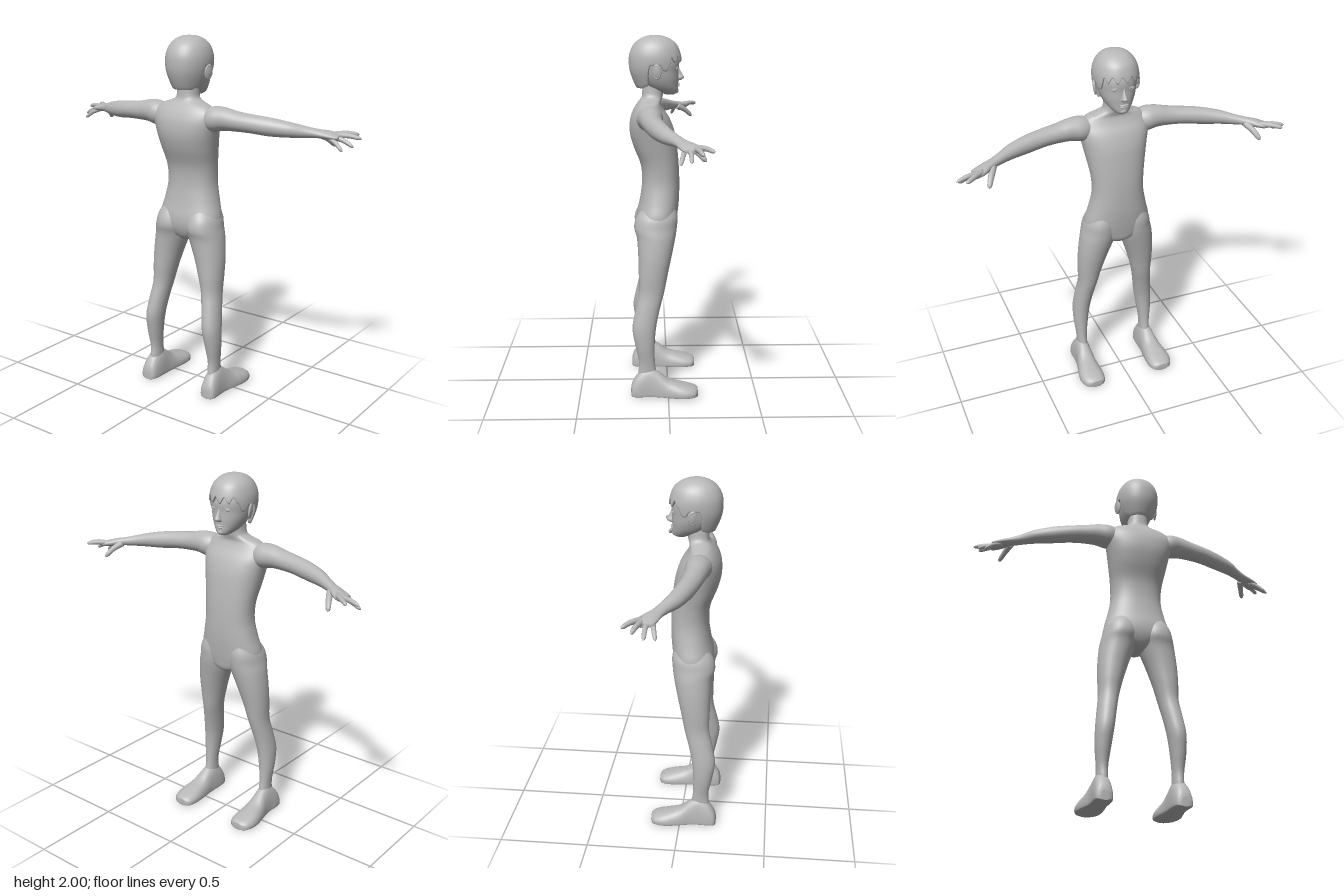
import * as THREE from 'three';

const V = (x, y, z) => new THREE.Vector3(x, y, z);
const spow = (v, p) => Math.sign(v) * Math.abs(v) ** p;

// Catmull-Rom resampling of a table of cross-sections
function smooth(rows, steps = 5) {
  const out = [], at = i => rows[Math.min(Math.max(i, 0), rows.length - 1)];
  for (let i = 0; i < rows.length - 1; i++)
    for (let s = 0; s < steps; s++) {
      const t = s / steps;
      out.push(rows[0].map((_, k) => {
        const [a, b, c, d] = [at(i - 1)[k], at(i)[k], at(i + 1)[k], at(i + 2)[k]];
        return b + 0.5 * t * (c - a + t * (2 * a - 5 * b + 4 * c - d + t * (3 * (b - c) + d - a)));
      }));
    }
  out.push(rows[rows.length - 1]);
  return out;
}

// Make faces point outward, whatever the section order
function outward(geo) {
  const p = geo.attributes.position, ix = geo.index.array;
  const a = V(), b = V(), c = V();
  let vol = 0;
  for (let i = 0; i < ix.length; i += 3) {
    a.fromBufferAttribute(p, ix[i]);
    b.fromBufferAttribute(p, ix[i + 1]);
    c.fromBufferAttribute(p, ix[i + 2]);
    vol += a.dot(b.cross(c));
  }
  if (vol < 0)
    for (let i = 0; i < ix.length; i += 3) [ix[i], ix[i + 1]] = [ix[i + 1], ix[i]];
  geo.computeVertexNormals();
  return geo;
}

// Skin a list of rings (arrays of points), closing both ends
function loft(rings, capEnd = true) {
  const n = rings[0].length, pts = rings.flat(), index = [];
  for (let r = 0; r < rings.length - 1; r++)
    for (let i = 0; i < n; i++) {
      const a = r * n + i, b = r * n + (i + 1) % n;
      index.push(a, b, a + n, b, b + n, a + n);
    }
  const cap = (r, flip) => {
    const mid = V();
    rings[r].forEach(q => mid.addScaledVector(q, 1 / n));
    const m = pts.push(mid) - 1;
    for (let i = 0; i < n; i++) {
      const a = r * n + i, b = r * n + (i + 1) % n;
      index.push(...(flip ? [m, b, a] : [m, a, b]));
    }
  };
  cap(0, true);
  if (capEnd) cap(rings.length - 1, false);
  const geo = new THREE.BufferGeometry().setFromPoints(pts);
  geo.setIndex(index);
  return outward(geo);
}

const ring = (n, fn) => Array.from({ length: n }, (_, i) => fn(i / n * Math.PI * 2));

// Rows: [y, back x, front x, inner z, outer z]
const upright = (rows, n = 40, e = 2.3) => loft(smooth(rows).map(([y, xb, xf, zi, zo]) =>
  ring(n, a => V((xb + xf) / 2 + (xf - xb) / 2 * spow(Math.cos(a), 2 / e), y,
    (zi + zo) / 2 + (zo - zi) / 2 * spow(Math.sin(a), 2 / e)))));
const centred = rows => rows.map(([y, xb, xf, w]) => [y, xb, xf, -w, w]);

// Tapered finger with a rounded tip
function finger(points, r0) {
  const curve = new THREE.CatmullRomCurve3(points.map(p => V(...p)));
  const N = 16, R = 10, frames = curve.computeFrenetFrames(N);
  return loft(Array.from({ length: N + 1 }, (_, i) => {
    const t = i / N, tip = Math.max(0, (t - 0.82) / 0.18);
    const r = r0 * (1 - 0.35 * t) * Math.sqrt(Math.max(0.01, 1 - tip * tip));
    const c = curve.getPoint(t);
    return ring(R, a => c.clone().addScaledVector(frames.normals[i], r * Math.cos(a))
      .addScaledVector(frames.binormals[i], r * Math.sin(a)));
  }));
}

const blob = (x, y, z, rx, ry, rz) =>
  new THREE.SphereGeometry(1, 24, 16).scale(rx, ry, rz).translate(x, y, z);

export function createModel() {
  const model = new THREE.Group();
  model.name = 'figure';
  const clay = new THREE.MeshStandardMaterial({ color: 0xb8b8b8 });
  clay.name = 'grey clay';
  const add = (name, geo) => {
    const m = new THREE.Mesh(geo, clay);
    m.name = name;
    model.add(m);
  };
  // The figure looks along +x, so its pairs mirror across z
  const pair = (name, geo) => {
    add(name + 'A', geo);
    add(name + 'B', outward(geo.clone().scale(1, 1, -1)));
  };

  // Torso and neck
  add('torso', upright(centred([
    [0.88, -0.12, 0.0, 0.02], [0.91, -0.15, 0.035, 0.1], [0.96, -0.17, 0.047, 0.18],
    [1.02, -0.172, 0.056, 0.187], [1.1, -0.155, 0.064, 0.166], [1.2, -0.142, 0.066, 0.146],
    [1.3, -0.15, 0.062, 0.149], [1.4, -0.188, 0.052, 0.166], [1.48, -0.208, 0.038, 0.182],
    [1.55, -0.205, 0.012, 0.197], [1.6, -0.187, -0.02, 0.19], [1.635, -0.165, -0.035, 0.155],
    [1.655, -0.15, -0.032, 0.1], [1.675, -0.14, -0.026, 0.065], [1.72, -0.137, -0.02, 0.057],
    [1.77, -0.135, -0.02, 0.055]]), 56));

  // Legs
  pair('leg', upright([
    [1.08, -0.13, 0.04, 0.03, 0.15], [1.02, -0.173, 0.053, 0.012, 0.186],
    [0.96, -0.187, 0.05, 0.006, 0.2], [0.9, -0.172, 0.041, 0.018, 0.213],
    [0.8, -0.165, 0.02, 0.055, 0.224], [0.7, -0.163, -0.002, 0.087, 0.226],
    [0.6, -0.162, -0.022, 0.113, 0.224], [0.5, -0.183, -0.048, 0.133, 0.236],
    [0.4, -0.2, -0.068, 0.149, 0.247], [0.3, -0.185, -0.076, 0.163, 0.247],
    [0.2, -0.165, -0.075, 0.175, 0.237], [0.13, -0.17, -0.065, 0.175, 0.235],
    [0.06, -0.17, -0.06, 0.175, 0.24]], 32, 2.1));

  // Feet: rows of [x, centre z, half width, top y], flat below
  pair('foot', loft(smooth([
    [-0.21, 0.212, 0.02, 0.05], [-0.2, 0.212, 0.042, 0.085], [-0.165, 0.21, 0.05, 0.135],
    [-0.11, 0.208, 0.05, 0.165], [-0.06, 0.21, 0.052, 0.145], [0, 0.214, 0.062, 0.1],
    [0.06, 0.217, 0.071, 0.08], [0.11, 0.217, 0.071, 0.066], [0.15, 0.215, 0.058, 0.052],
    [0.167, 0.213, 0.032, 0.04]]).map(([x, zc, w, top]) => ring(32, a => {
    const s = Math.sin(a);
    return V(x, s > 0 ? 0.022 + (top - 0.022) * s : 0.022 + 0.022 * spow(s, 0.35),
      zc + w * spow(Math.cos(a), 0.8));
  }))));

  // Arms with palms: rows of [z, centre x, centre y, half depth, half height]
  pair('arm', loft(smooth([
    [0.1, -0.1, 1.565, 0.04, 0.05], [0.18, -0.098, 1.573, 0.07, 0.068],
    [0.25, -0.094, 1.579, 0.063, 0.061], [0.32, -0.088, 1.573, 0.056, 0.053],
    [0.4, -0.075, 1.567, 0.053, 0.049], [0.5, -0.05, 1.557, 0.049, 0.048],
    [0.6, -0.014, 1.547, 0.044, 0.039], [0.67, 0.026, 1.538, 0.036, 0.029],
    [0.72, 0.055, 1.532, 0.037, 0.023], [0.76, 0.08, 1.526, 0.048, 0.022],
    [0.8, 0.098, 1.519, 0.051, 0.018], [0.825, 0.105, 1.515, 0.044, 0.012]
  ]).map(([z, x, y, rx, ry]) =>
    ring(28, a => V(x + rx * Math.cos(a), y + ry * Math.sin(a), z)))));

  // Fingers and thumb
  const fingers = {
    indexFinger: [[[0.115, 1.525, 0.78], [0.16, 1.53, 0.83], [0.198, 1.522, 0.882]], 0.016],
    middleFinger: [[[0.105, 1.52, 0.78], [0.128, 1.524, 0.85], [0.146, 1.512, 0.92]], 0.016],
    ringFinger: [[[0.085, 1.515, 0.78], [0.092, 1.505, 0.84], [0.092, 1.475, 0.902]], 0.015],
    littleFinger: [[[0.067, 1.515, 0.77], [0.055, 1.493, 0.82], [0.042, 1.457, 0.865]], 0.014],
    thumb: [[[0.075, 1.525, 0.715], [0.125, 1.498, 0.74], [0.168, 1.455, 0.765]], 0.019]
  };
  for (const [name, [path, r]] of Object.entries(fingers)) pair(name, finger(path, r));

  // Head
  add('head', upright(centred([
    [1.682, -0.01, 0.035, 0.02], [1.692, -0.04, 0.053, 0.038], [1.71, -0.09, 0.058, 0.057],
    [1.735, -0.125, 0.058, 0.075], [1.77, -0.155, 0.06, 0.091], [1.81, -0.175, 0.06, 0.101],
    [1.86, -0.185, 0.063, 0.107], [1.91, -0.18, 0.047, 0.102], [1.95, -0.155, 0.015, 0.083],
    [1.978, -0.11, -0.03, 0.045], [1.985, -0.072, -0.068, 0.002]]), 48, 2.2));

  // Hair cap with a jagged fringe, sideburns and ear notches
  const hairRows = smooth([
    [2, -0.071, -0.069, 0.001], [1.996, -0.11, -0.028, 0.04], [1.98, -0.15, 0.014, 0.073],
    [1.95, -0.184, 0.05, 0.1], [1.91, -0.204, 0.068, 0.116], [1.87, -0.21, 0.076, 0.121],
    [1.82, -0.207, 0.074, 0.117], [1.77, -0.192, 0.065, 0.103], [1.71, -0.165, 0.05, 0.08]], 8);
  const hairAt = y => {
    let i = 0;
    while (i < hairRows.length - 2 && hairRows[i + 1][0] > y) i++;
    const A = hairRows[i], B = hairRows[i + 1], t = (A[0] - y) / (A[0] - B[0]);
    return A.map((v, k) => v + (B[k] - v) * t);
  };
  const step = THREE.MathUtils.smoothstep;
  const hairEdge = phi => {
    const f = Math.abs(phi > Math.PI ? phi - 2 * Math.PI : phi);
    const fringe = 1.877 + 0.017 * Math.sin(15 * phi) * (1 - step(f, 0.85, 1.05));
    return fringe - 0.06 * step(f, 0.9, 1.15) + 0.03 * step(f, 1.25, 1.4)
      - 0.112 * step(f, 1.75, 2.0) - 0.012 * step(f, 2, 2.4);
  };
  const hairPoint = (phi, y, k) => {
    const [, xb, xf, w] = hairAt(y), c = (xb + xf) / 2;
    return V(c + k * (xf - xb) / 2 * spow(Math.cos(phi), 0.95), y, k * w * spow(Math.sin(phi), 0.95));
  };
  const hairRings = [];
  for (let r = 0; r <= 32; r++)
    hairRings.push(ring(144, p => hairPoint(p, 2 - (2 - hairEdge(p)) * (r / 32) ** 1.7, 1)));
  for (const k of [0.96, 0.8])
    hairRings.push(ring(144, p => hairPoint(p, hairEdge(p) - 0.003 + (0.96 - k) * 0.05, k)));
  add('hair', loft(hairRings, false));

  // Ears
  const earPlace = g => g.rotateX(0.12).rotateY(-0.3).translate(-0.06, 1.812, 0.118);
  pair('ear', earPlace(blob(0, 0, 0, 0.023, 0.038, 0.009)));
  pair('earRim', earPlace(new THREE.TorusGeometry(0.024, 0.006, 10, 28).scale(0.85, 1.4, 1)));

  // Nose, eyes, lids and lips
  add('nose', upright(centred([
    [1.84, 0.035, 0.059, 0.006], [1.815, 0.035, 0.068, 0.009], [1.79, 0.035, 0.082, 0.013],
    [1.774, 0.035, 0.09, 0.018], [1.763, 0.035, 0.078, 0.016], [1.757, 0.035, 0.06, 0.008]]), 20, 2));
  pair('eye', blob(0.048, 1.826, 0.045, 0.008, 0.007, 0.016));
  pair('eyelid', new THREE.TorusGeometry(0.016, 0.0025, 8, 28).scale(1, 0.5, 1)
    .rotateY(Math.PI / 2 - 0.35).translate(0.053, 1.826, 0.045));
  add('upperLip', blob(0.057, 1.738, 0, 0.011, 0.005, 0.026));
  add('lowerLip', blob(0.057, 1.728, 0, 0.009, 0.005, 0.021));
  add('chin', blob(0.042, 1.702, 0, 0.019, 0.016, 0.024));
  return model;
}
